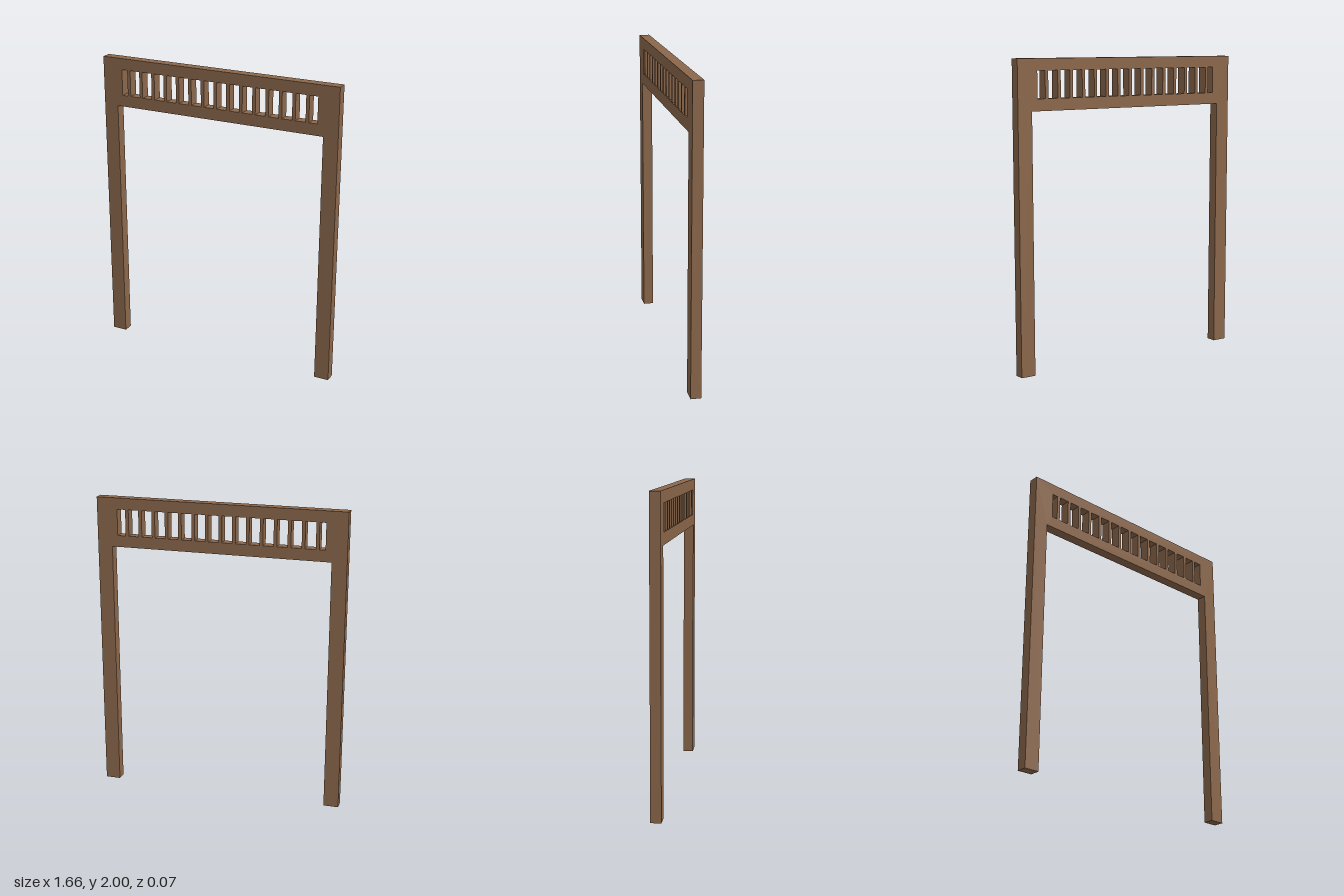
import * as THREE from 'three';

const DEPTH = 0.068;

function addOutline(path, points) {
  points.forEach(([x, y], i) => (i ? path.lineTo(x, y) : path.moveTo(x, y)));
  path.closePath();
  return path;
}

export function createModel() {
  const group = new THREE.Group();
  group.name = 'gateway';
  const wood = new THREE.MeshStandardMaterial({ color: 0x8b674b });
  wood.name = 'brown wood';

  // Two posts joined by a deep header
  const outer = 0.83, inner = 0.731, headerBottom = 1.676, top = 2;
  const shape = addOutline(new THREE.Shape(), [
    [-outer, 0], [-inner, 0], [-inner, headerBottom], [inner, headerBottom],
    [inner, 0], [outer, 0], [outer, top], [-outer, top],
  ]);

  // Row of openings in the header, leaving evenly spaced slats between them
  const slats = 15, pitch = 0.0903, slatWidth = 0.022, firstSlat = -0.64;
  const rowEnd = 0.691, low = 1.752, high = 1.925;
  for (let i = 0; i <= slats; i++) {
    const left = i === 0 ? -rowEnd : firstSlat + (i - 1) * pitch + slatWidth / 2;
    const right = i === slats ? rowEnd : firstSlat + i * pitch - slatWidth / 2;
    shape.holes.push(addOutline(new THREE.Path(), [
      [left, low], [left, high], [right, high], [right, low],
    ]));
  }

  const geometry = new THREE.ExtrudeGeometry(shape, { depth: DEPTH, bevelEnabled: false });
  geometry.translate(0, 0, -DEPTH / 2);
  const frame = new THREE.Mesh(geometry, wood);
  frame.name = 'slattedFrame';
  group.add(frame);
  return group;
}
